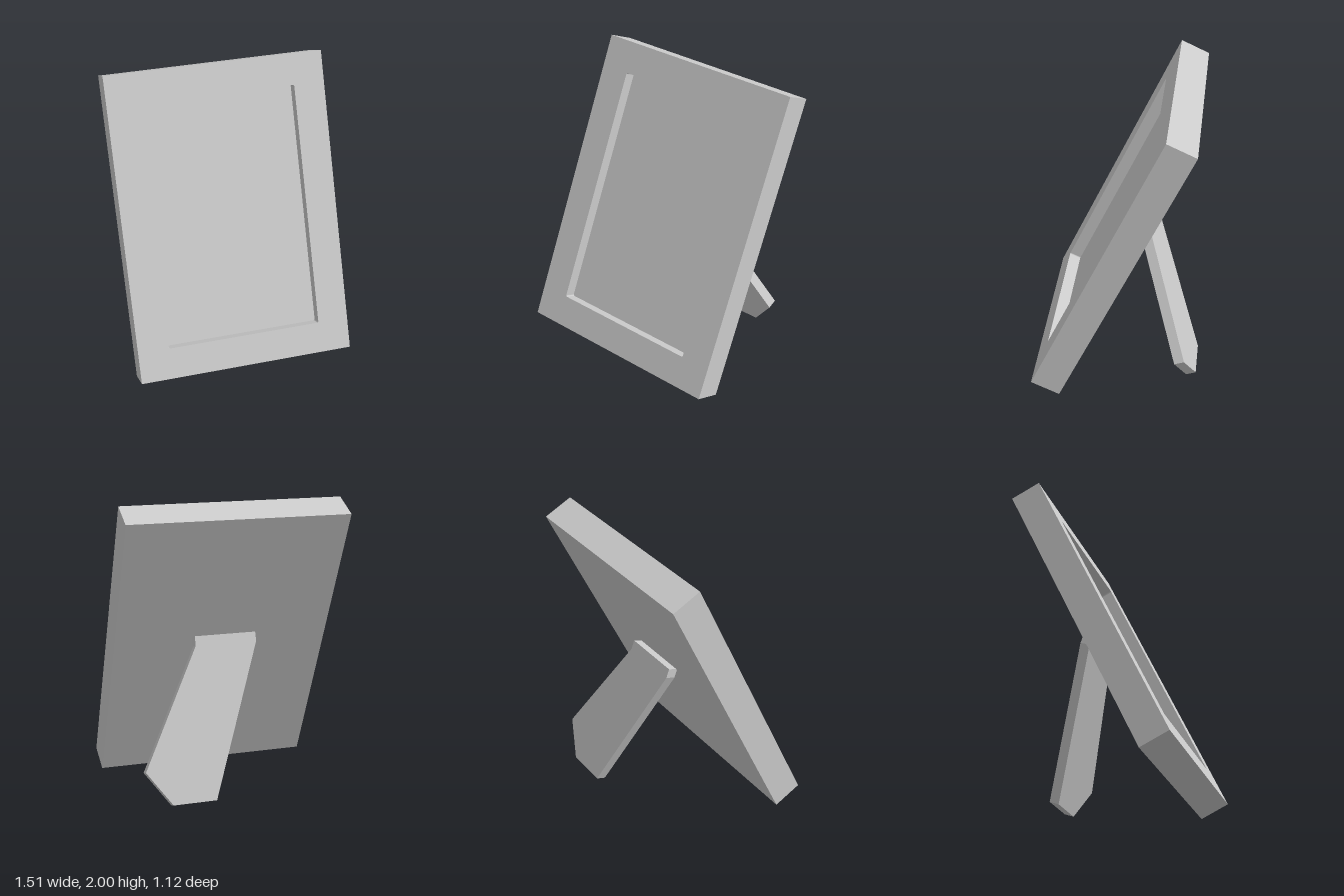
import * as THREE from 'three';

const WIDTH = 1.51, HEIGHT = 2.108, DEPTH = 0.212;
const BORDER = 0.214, RECESS = 0.085;
const FRAME_TILT = THREE.MathUtils.degToRad(25);
const LEG_TILT = THREE.MathUtils.degToRad(19.6);

const material = new THREE.MeshStandardMaterial({ color: 0xcccccc, flatShading: true });

function part(name, geometry) {
  const mesh = new THREE.Mesh(geometry, material);
  mesh.name = name;
  return mesh;
}

// Rectangle with tiny rounded corners, used for the opening
function roundedRect(x0, y0, x1, y1, r) {
  const p = new THREE.Path();
  p.absarc(x1 - r, y1 - r, r, 0, Math.PI / 2);
  p.absarc(x0 + r, y1 - r, r, Math.PI / 2, Math.PI);
  p.absarc(x0 + r, y0 + r, r, Math.PI, Math.PI * 1.5);
  p.absarc(x1 - r, y0 + r, r, Math.PI * 1.5, Math.PI * 2);
  p.closePath();
  return p;
}

export function createModel() {
  const model = new THREE.Group();
  model.name = 'pictureFrame';

  // Leaning frame; its origin is the lower back edge
  const frame = new THREE.Group();
  frame.name = 'leaningFrame';
  frame.position.set(0, 0, 0.368);
  frame.rotation.x = -FRAME_TILT;
  model.add(frame);

  // Solid back board, whose front is the recessed picture area
  const boardDepth = DEPTH - RECESS;
  const board = new THREE.BoxGeometry(WIDTH, HEIGHT, boardDepth);
  board.translate(0, HEIGHT / 2, boardDepth / 2);
  frame.add(part('backBoard', board));

  // Raised border around the opening
  const w = WIDTH / 2;
  const outline = new THREE.Shape([
    new THREE.Vector2(-w, 0), new THREE.Vector2(w, 0),
    new THREE.Vector2(w, HEIGHT), new THREE.Vector2(-w, HEIGHT),
  ]);
  outline.holes.push(roundedRect(-w + BORDER, BORDER, w - BORDER, HEIGHT - BORDER, 0.01));
  const border = new THREE.ExtrudeGeometry(outline, { depth: RECESS, bevelEnabled: false, curveSegments: 3 });
  border.translate(0, 0, boardDepth);
  frame.add(part('border', border));

  // Slanted easel leg, splayed to one side, hinged at its top edge
  const legOutline = new THREE.Shape([
    [-0.215, 0], [-0.215, -0.065], [0.175, -1.104], [0.475, -1.104],
    [0.64, -0.872], [0.215, -0.065], [0.215, 0],
  ].map(([x, y]) => new THREE.Vector2(x, y)));
  const leg = part('easelLeg', new THREE.ExtrudeGeometry(legOutline, { depth: 0.07, bevelEnabled: false }));
  leg.position.set(0, 1.08, -0.185);
  leg.rotation.x = LEG_TILT;
  model.add(leg);

  return model;
}
